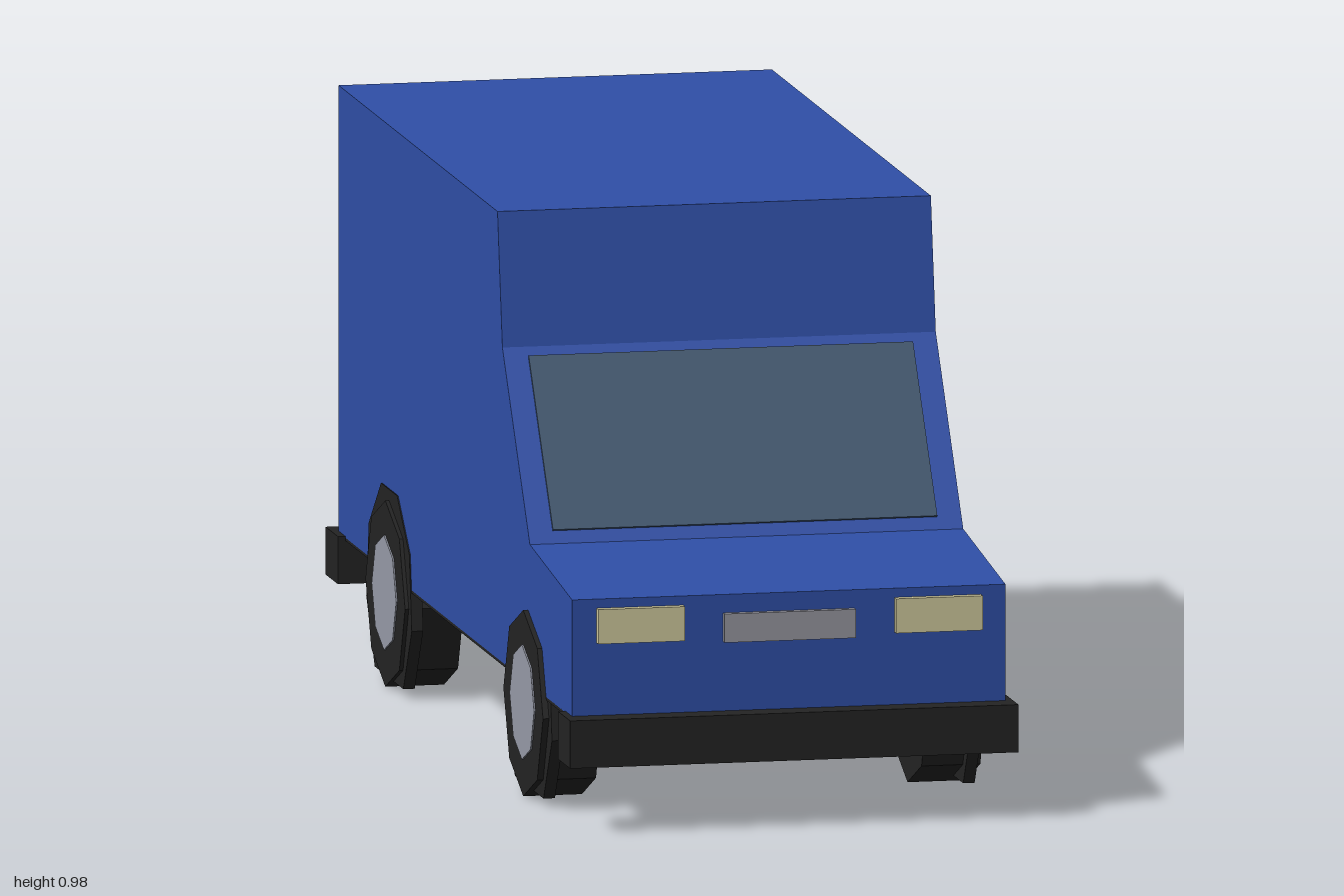
import * as THREE from 'three';

const paint = (name, color) => {
  const m = new THREE.MeshStandardMaterial({ color });
  m.name = name;
  m.flatShading = true;
  return m;
};

// Extrudes a [z, y] profile across x, centred on x = 0
function extrudeAcross(points, width) {
  const shape = new THREE.Shape(points.map(([z, y]) => new THREE.Vector2(z, y)));
  const geo = new THREE.ExtrudeGeometry(shape, { depth: width, bevelEnabled: false });
  geo.rotateY(-Math.PI / 2);
  geo.translate(width / 2, 0, 0);
  return geo;
}

export function createModel() {
  const blue = paint('body blue', 0x2f4fa7);
  const black = paint('rubber black', 0x232323);
  const glass = paint('window glass', 0x40566e);
  const cream = paint('lamp cream', 0xd0c99d);
  const grey = paint('grille grey', 0x9797a0);
  const silver = paint('hub silver', 0x979ba8);
  const red = paint('tail lamp red', 0xa82010);

  const model = new THREE.Group();
  model.name = 'van';

  const add = (name, geo, mat, x = 0, y = 0, z = 0) => {
    const mesh = new THREE.Mesh(geo, mat);
    mesh.name = name;
    mesh.position.set(x, y, z);
    model.add(mesh);
    return mesh;
  };
  const box = (name, mat, w, h, d, x, y, z) =>
    add(name, new THREE.BoxGeometry(w, h, d), mat, x, y, z);

  // Body shell and dark floor
  add('body', extrudeAcross([
    [0.955, 0.197], [0.955, 0.402], [0.61, 0.44], [0.385, 0.745],
    [0.345, 0.975], [-0.955, 0.975], [-0.955, 0.197],
  ], 0.76), blue);
  box('floor', black, 0.76, 0.006, 1.91, 0, 0.195, 0);

  // Windscreen lying on the sloped face
  const screen = box('windscreen', glass, 0.674, 0.335, 0.008, 0, 0.595, 0.496);
  screen.rotation.x = -Math.atan2(0.225, 0.305);

  // Bumpers
  box('frontBumper', black, 0.786, 0.083, 0.1, 0, 0.158, 0.95);
  box('rearBumper', black, 0.786, 0.083, 0.1, 0, 0.158, -0.95);

  // Grille and rear plate
  box('grille', grey, 0.23, 0.05, 0.02, 0, 0.345, 0.957);
  box('rearPlate', cream, 0.19, 0.056, 0.03, 0, 0.272, -0.958);

  // Arch disc: a seven-sided arc closed by a flat chord
  const arc = [];
  for (let i = 0; i <= 7; i++) {
    const a = THREE.MathUtils.degToRad(-142 + (i * 284) / 7);
    arc.push([-0.19 * Math.sin(a), 0.19 * Math.cos(a)]);
  }
  const archGeo = extrudeAcross(arc, 0.02);

  const tyreGeo = new THREE.CylinderGeometry(0.162, 0.162, 0.103, 8).rotateZ(Math.PI / 2);
  const hubGeo = new THREE.CylinderGeometry(0.1, 0.1, 0.108, 8).rotateZ(Math.PI / 2);

  for (const side of [1, -1]) {
    const label = side > 0 ? 'left' : 'right';

    // Lamps
    box(label + 'Headlamp', cream, 0.152, 0.06, 0.03, side * 0.261, 0.356, 0.955);
    box(label + 'TailLamp', red, 0.152, 0.055, 0.03, side * 0.261, 0.412, -0.955);

    // Wheels; the rear arches sit just proud of the body, the front ones inside it
    for (const [end, z, archX] of [['Front', 0.595, 0.368], ['Rear', -0.533, 0.372]]) {
      add(label + end + 'Tyre', tyreGeo, black, side * 0.337, 0.162, z);
      add(label + end + 'Hub', hubGeo, silver, side * 0.337, 0.164, z);
      add(label + end + 'Arch', archGeo, black, side * archX, 0.165, z);
    }
  }
  return model;
}
